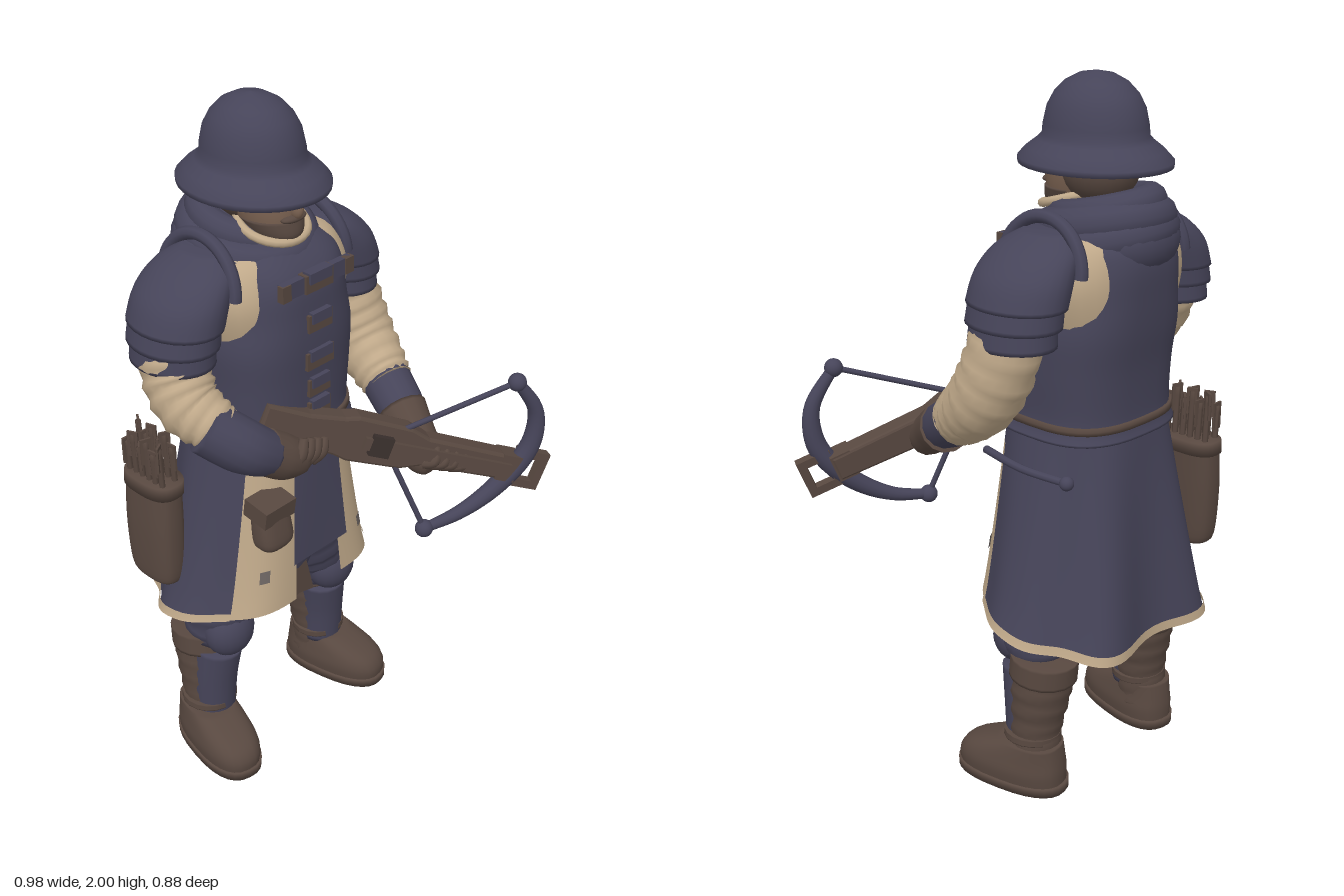
import * as THREE from 'three';

const paint = (name, color, side = THREE.FrontSide) => {
  const m = new THREE.MeshStandardMaterial({ color, side });
  m.name = name;
  return m;
};

// Catmull-Rom smoothing of rows holding any count of numbers
function smooth(rows, k = 5) {
  const out = [], at = i => rows[Math.max(0, Math.min(rows.length - 1, i))];
  for (let i = 0; i < rows.length - 1; i++) for (let j = 0; j < k; j++) {
    const t = j / k, [a, b, c, d] = [at(i - 1), at(i), at(i + 1), at(i + 2)];
    out.push(b.map((_, n) => 0.5 * (2 * b[n] + (c[n] - a[n]) * t + (2 * a[n] - 5 * b[n] + 4 * c[n] - d[n]) * t * t
      + (3 * b[n] - a[n] - 3 * c[n] + d[n]) * t * t * t)));
  }
  out.push(rows[rows.length - 1]);
  return out;
}

// Surface through rings of points; closed rings are capped at both ends
function skin(rings, closed = true) {
  const n = rings[0].length, pos = rings.flat(2), idx = [];
  for (let i = 0; i < rings.length - 1; i++) for (let j = 0; j < (closed ? n : n - 1); j++) {
    const a = i * n + j, b = i * n + (j + 1) % n, c = a + n, d = b + n;
    idx.push(a, b, d, a, d, c);
  }
  if (closed) [0, rings.length - 1].forEach((r, end) => {
    const mid = [0, 1, 2].map(c => rings[r].reduce((s, p) => s + p[c], 0) / n), m = pos.length / 3;
    pos.push(...mid);
    for (let j = 0; j < n; j++) {
      const a = r * n + j, b = r * n + (j + 1) % n;
      idx.push(m, ...(end ? [a, b] : [b, a]));
    }
  });
  const g = new THREE.BufferGeometry();
  g.setAttribute('position', new THREE.Float32BufferAttribute(pos, 3));
  g.setIndex(idx);
  g.computeVertexNormals();
  return g;
}

const pow = (v, e) => Math.sign(v) * Math.abs(v) ** e;

// Stacked ellipses, listed upward as [y, cx, cz, rx, rz]
const loft = (rows, e = 1, n = 28, k = 5) => skin(smooth(rows, k).map(([y, cx, cz, rx, rz]) =>
  Array.from({ length: n }, (_, j) => {
    const a = j / n * Math.PI * 2;
    return [cx + rx * pow(Math.sin(a), e), y, cz + rz * pow(Math.cos(a), e)];
  })));

// Round limb along [x, y, z, radius] points, with optional cloth folds
function limb(rows, fold = 0, n = 14) {
  const pts = smooth(rows, 6), v = p => new THREE.Vector3(p[0], p[1], p[2]);
  const span = v(rows[rows.length - 1]).sub(v(rows[0])).normalize();
  const ref = Math.abs(span.z) < 0.75 ? new THREE.Vector3(0, 0, 1) : new THREE.Vector3(1, 0, 0);
  return skin(pts.map((p, i) => {
    const t = v(pts[Math.min(i + 1, pts.length - 1)]).sub(v(pts[Math.max(i - 1, 0)])).normalize();
    const u = ref.clone().cross(t).normalize(), w = t.clone().cross(u);
    return Array.from({ length: n }, (_, j) => {
      const a = j / n * Math.PI * 2, r = p[3] + fold * Math.sin(i * 2.1 + Math.sin(a) * 1.5);
      return v(p).addScaledVector(u, r * Math.cos(a)).addScaledVector(w, r * Math.sin(a)).toArray();
    });
  }));
}

// Patch of the flared coat skirt: angles a0..a1 from the front, s 0 (hem) .. 1 (waist)
function skirt(a0, a1, s0, s1, off = 0) {
  const rings = [], mix = THREE.MathUtils.lerp, n = Math.ceil((a1 - a0) * 14) + 2;
  for (let i = 0; i <= 12; i++) {
    const s = mix(s0, s1, i / 12), f = 1 - s;
    rings.push(Array.from({ length: n }, (_, j) => {
      const a = mix(a0, a1, j / (n - 1)), back = Math.max(0, -Math.cos(a));
      const r = off - f * (0.01 + 0.018 * back) * Math.cos(6 * a);
      const z = mix(-0.175, -0.145, s) + (mix(0.25, 0.19, s) + r) * pow(Math.cos(a), 0.85);
      const x = -0.08 + (mix(0.345, 0.215, s ** 0.85) + r) * pow(Math.sin(a), 0.85);
      return [x, mix(0.52, 1.12, s) + (z + 0.17) * 0.19 * f, z];
    }));
  }
  return skin(rings, false);
}

export function createModel() {
  const model = new THREE.Group();
  const navy = paint('navy cloth', 0x464459, THREE.DoubleSide), cream = paint('cream linen', 0xc0a98a, THREE.DoubleSide);
  const brown = paint('brown leather', 0x584840), dark = paint('dark leather', 0x3a302d), face = paint('skin', 0x7d6453);
  const grey = paint('worn grey', 0x6e6663, THREE.DoubleSide);
  const add = (name, geo, mat, x = 0, y = 0, z = 0) => {
    const m = new THREE.Mesh(geo, mat);
    m.name = name;
    m.position.set(x, y, z);
    model.add(m);
    return m;
  };
  const box = (w, h, d) => new THREE.BoxGeometry(w, h, d);
  const ball = (x, y, z) => new THREE.SphereGeometry(1, 20, 14).scale(x, y, z);
  const flat = pts => pts.map(([x, y]) => new THREE.Vector2(x, y));

  // Kettle helmet
  const helmet = flat([[0.105, 1.79], [0.176, 1.763], [0.186, 1.765], [0.187, 1.78], [0.165, 1.805], [0.14, 1.826], [0.128, 1.84],
    [0.126, 1.865], [0.117, 1.91], [0.1, 1.945], [0.075, 1.973], [0.042, 1.992], [0, 2]]);
  add('helmet', new THREE.LatheGeometry(helmet, 36).scale(1, 1, 1.15), navy, -0.09, 0, -0.15);

  // Head
  add('head', loft([[1.63, -0.09, -0.1, 0.05, 0.06], [1.67, -0.09, -0.095, 0.07, 0.085], [1.74, -0.09, -0.11, 0.088, 0.11],
    [1.84, -0.09, -0.13, 0.09, 0.12]]), face);
  add('hair', ball(0.102, 0.1, 0.11), brown, -0.09, 1.76, -0.165);
  add('beard', loft([[1.635, -0.09, -0.07, 0.035, 0.055], [1.66, -0.09, -0.075, 0.065, 0.08], [1.7, -0.09, -0.09, 0.084, 0.088]]), brown);
  add('nose', ball(0.015, 0.028, 0.022), face, -0.09, 1.735, 0.002);
  add('moustache', ball(0.042, 0.012, 0.02), brown, -0.09, 1.708, -0.008);
  for (const s of [-1, 1]) {
    add('eye', ball(0.014, 0.007, 0.006), dark, -0.09 + s * 0.037, 1.752, -0.014);
    add('eyebrow', box(0.04, 0.01, 0.02), brown, -0.09 + s * 0.037, 1.77, -0.016);
  }

  // Hood gathered round the neck, over a pale collar
  [[1.58, 0.15, 0.052, 1.08], [1.62, 0.135, 0.05, 1.08], [1.66, 0.11, 0.04, 1.1]].forEach(([y, r, t, k], i) => {
    const fold = add('hoodFold', new THREE.TorusGeometry(r, t, 12, 36).rotateX(Math.PI / 2).scale(1, 1.05, k), navy, -0.085, y, -0.175 - i * 0.01);
    fold.rotation.set(0.22, 0, i % 2 ? 0.05 : -0.04);
  });
  add('hoodBag', ball(0.14, 0.09, 0.09), navy, -0.085, 1.585, -0.3);
  add('collar', new THREE.TorusGeometry(0.092, 0.012, 8, 28).rotateX(Math.PI / 2), cream, -0.085, 1.672, -0.09).rotation.x = 0.3;

  // Torso: linen shirt under a quilted vest
  add('shirt', loft([[1.28, -0.07, -0.16, 0.17, 0.13], [1.37, -0.07, -0.165, 0.21, 0.175], [1.5, -0.07, -0.165, 0.24, 0.192],
    [1.6, -0.07, -0.17, 0.2, 0.165], [1.64, -0.07, -0.17, 0.12, 0.1]], 0.7), cream);
  add('vest', loft([[1.07, -0.075, -0.145, 0.228, 0.212], [1.12, -0.075, -0.145, 0.214, 0.2], [1.25, -0.07, -0.147, 0.217, 0.204],
    [1.36, -0.07, -0.152, 0.22, 0.214], [1.45, -0.07, -0.157, 0.203, 0.216], [1.54, -0.07, -0.162, 0.19, 0.213], [1.6, -0.07, -0.17, 0.17, 0.185],
    [1.66, -0.08, -0.18, 0.1, 0.12]], 0.72, 40), navy);
  add('belt', loft([[1.1, -0.075, -0.145, 0.222, 0.208], [1.12, -0.075, -0.145, 0.22, 0.206]], 0.72, 40, 2), brown);
  add('chestStrap', box(0.25, 0.045, 0.02), navy, -0.07, 1.55, 0.048);
  for (const s of [-1, 1]) add('strapEnd', box(0.03, 0.045, 0.02), brown, -0.07 + s * 0.115, 1.55, 0.052);
  [[1.55, 0.1, 0.05], [1.435, 0.085, 0.053], [1.325, 0.1, 0.053], [1.24, 0.08, 0.05], [1.17, 0.08, 0.05]].forEach(([y, w, z]) => {
    add('buckle', box(w, 0.05, 0.03), brown, -0.07, y, z);
    add('buckleFlap', box(w * 0.8, 0.03, 0.03), navy, -0.07, y + 0.016, z + 0.006);
  });

  // Coat skirt, open in front with pale worn facings and hem
  const tau = Math.PI * 2;
  add('coatSkirt', skirt(0.92, tau - 0.92, 0, 1), navy);
  add('hemTrim', skirt(0.92, tau - 0.92, 0, 0.04, 0.006), cream);
  for (const s of [-1, 1]) {
    const strip = (name, mat, a, b, ...rest) => add(name, skirt(Math.min(s * a, s * b), Math.max(s * a, s * b), ...rest), mat);
    strip('coatFacing', cream, 0.22, 0.92, 0, 0.8);
    strip('coatFront', navy, 0.22, 0.92, 0.8, 1);
    strip('wornPatch', grey, 0.53, 0.64, 0.19, 0.26, 0.004);
  }
  add('frontPanel', skirt(-0.28, 0.28, 0.24, 1, 0.015), navy);

  // Breeches
  add('breechesSeat', loft([[0.46, -0.0875, -0.15, 0.06, 0.07], [0.55, -0.0875, -0.15, 0.13, 0.13], [0.72, -0.08, -0.15, 0.21, 0.16],
    [0.9, -0.08, -0.15, 0.2, 0.15]]), navy);
  const flap = new THREE.Shape(flat([[-0.02, 0.08], [0.02, 0.08], [0.06, -0.085], [0, -0.07], [-0.06, -0.085]]));
  add('codFlap', new THREE.ExtrudeGeometry(flap, { depth: 0.02, bevelEnabled: false }), brown, -0.0825, 0.56, -0.03);

  // Legs and boots
  for (const s of [-1, 1]) {
    const X = d => -0.0875 + s * d;
    add('breechesLeg', limb([[X(0.12), 0.78, -0.15, 0.13], [X(0.16), 0.62, -0.14, 0.135], [X(0.2), 0.5, -0.14, 0.108], [X(0.215), 0.4, -0.15, 0.08]], 0.005, 18), navy);
    add('kneeCap', ball(0.08, 0.088, 0.07), navy, X(0.215), 0.45, -0.085);
    add('bootShaft', limb([[X(0.24), 0.07, -0.175, 0.075], [X(0.235), 0.18, -0.17, 0.074], [X(0.228), 0.3, -0.18, 0.086], [X(0.22), 0.4, -0.19, 0.092]], 0.003, 18), brown);
    add('bootCuff', limb([[X(0.222), 0.355, -0.185, 0.098], [X(0.22), 0.42, -0.19, 0.098]], 0, 18), brown);
    add('greave', limb([[X(0.235), 0.13, -0.145, 0.066], [X(0.232), 0.25, -0.14, 0.07], [X(0.222), 0.37, -0.13, 0.076]], 0, 18), navy);
    add('ankleStrap', limb([[X(0.238), 0.155, -0.16, 0.083], [X(0.237), 0.175, -0.16, 0.083]], 0, 18), brown);
    add('foot', loft([[0.015, 0, 0.07, 0.083, 0.168], [0.06, 0, 0.07, 0.088, 0.168], [0.1, 0, 0.055, 0.082, 0.148],
      [0.145, 0, 0.005, 0.072, 0.09]], 0.8), brown, X(0.245), 0, -0.17).rotation.y = s * 0.2;
    add('sole', loft([[0, 0, 0.07, 0.088, 0.175], [0.028, 0, 0.07, 0.09, 0.175]], 0.8, 28, 1), brown, X(0.245), 0, -0.17).rotation.y = s * 0.2;
  }

  // Layered shoulder guards
  for (const s of [-1, 1]) {
    const lames = [[[1.46, 0.292, 0.112, 0.145], [1.53, 0.265, 0.108, 0.142], [1.59, 0.22, 0.09, 0.12], [1.63, 0.18, 0.05, 0.07]],
      [[1.41, 0.303, 0.109, 0.138], [1.48, 0.29, 0.106, 0.135]], [[1.36, 0.308, 0.103, 0.126], [1.43, 0.303, 0.1, 0.12]]];
    lames.forEach(l => add('shoulderLame', loft(l.map(([y, d, rx, rz]) => [y, -0.07 + s * d, -0.168, rx, rz])), navy));
    const rim = add('shoulderRim', new THREE.TorusGeometry(0.135, 0.018, 8, 24, Math.PI).rotateY(Math.PI / 2), navy, -0.07 + s * 0.205, 1.53, -0.17);
    rim.rotation.z = s * 0.12;
  }

  // Left arm
  add('leftSleeve', limb([[0.24, 1.42, -0.165, 0.092], [0.255, 1.3, -0.14, 0.098], [0.262, 1.2, -0.09, 0.095], [0.25, 1.13, -0.01, 0.082], [0.24, 1.1, 0.035, 0.07]], 0.005, 18), cream);
  add('leftBracer', limb([[0.25, 1.12, 0.0, 0.072], [0.22, 1.06, 0.1, 0.068], [0.2, 1.03, 0.15, 0.056]]), navy);
  add('leftGlove', limb([[0.215, 1.05, 0.11, 0.074], [0.19, 1.01, 0.18, 0.062], [0.17, 0.97, 0.24, 0.055], [0.17, 0.96, 0.27, 0.03]]), brown);
  // Right arm
  add('rightSleeve', limb([[-0.38, 1.42, -0.165, 0.092], [-0.392, 1.33, -0.14, 0.092], [-0.4, 1.26, -0.09, 0.086], [-0.38, 1.22, -0.03, 0.074], [-0.365, 1.2, -0.01, 0.065]], 0.005, 18), cream);
  add('rightBracer', limb([[-0.4, 1.22, -0.03, 0.075], [-0.33, 1.155, 0.04, 0.074], [-0.26, 1.11, 0.065, 0.06]]), navy);
  add('rightGlove', limb([[-0.275, 1.12, 0.055, 0.066], [-0.22, 1.085, 0.07, 0.064], [-0.17, 1.065, 0.085, 0.048], [-0.15, 1.06, 0.09, 0.025]]), brown);
  for (let i = 0; i < 4; i++) {
    const f = i * 0.026;
    add('rightFinger', limb([[-0.22 + f, 1.065 - f * 0.2, 0.1, 0.018], [-0.2 + f, 1.1 - f * 0.3, 0.118, 0.018], [-0.18 + f, 1.14 - f * 0.4, 0.11, 0.013]], 0, 8), brown);
    add('leftFinger', limb([[0.14 + f, 0.97 - f * 0.4, 0.25 + f * 0.5, 0.017], [0.155 + f, 0.985 - f * 0.4, 0.285 + f * 0.5, 0.017], [0.175 + f, 1.02 - f * 0.4, 0.275 + f * 0.5, 0.013]], 0, 8), brown);
  }

  // Crossbow: local x runs along the stock, y along the bow, z out of the top
  const along = new THREE.Vector3(0.65, -0.29, 0.4).normalize(), up = new THREE.Vector3(-0.49, 0.06, 0.85);
  const across = up.cross(along).normalize();
  const bow = new THREE.Group();
  bow.name = 'crossbow';
  bow.quaternion.setFromRotationMatrix(new THREE.Matrix4().makeBasis(along, across, along.clone().cross(across)));
  bow.position.set(-0.23, 1.18, 0.005);
  model.add(bow);
  const outline = [[0, 0.045], [0.12, 0.04], [0.22, 0.05], [0.26, 0.06], [0.42, 0.055], [0.48, 0.036], [0.77, 0.03]];
  const stock = new THREE.Shape(flat([...outline, ...outline.map(([x, y]) => [x, -y]).reverse()]));
  const bevel = { bevelThickness: 0.01, bevelSize: 0.008, bevelSegments: 2 };
  bow.add(add('stock', new THREE.ExtrudeGeometry(stock, { depth: 0.045, ...bevel }), brown, 0, 0, -0.025));
  bow.add(add('boltRail', box(0.46, 0.035, 0.016), brown, 0.52, 0, 0.036));
  bow.add(add('latch', box(0.06, 0.06, 0.025), dark, 0.34, 0, 0.036));
  bow.add(add('bowMount', box(0.06, 0.08, 0.065), brown, 0.75, 0, 0));
  const frame = new THREE.Shape(flat([[0, -0.058], [0.1, -0.058], [0.1, 0.058], [0, 0.058]]));
  frame.holes.push(new THREE.Path(flat([[0.022, -0.034], [0.022, 0.034], [0.076, 0.034], [0.076, -0.034]])));
  bow.add(add('stirrup', new THREE.ExtrudeGeometry(frame, { depth: 0.03, bevelEnabled: false }), brown, 0.772, 0, -0.015));
  const tips = [[0.37, 1.19, 0.39], [0.13, 0.765, 0.28]];
  add('bowLimbs', limb([[...tips[0], 0.015], [0.43, 1.09, 0.415, 0.022], [0.432, 0.99, 0.415, 0.028], [0.395, 0.91, 0.395, 0.03],
    [0.32, 0.835, 0.36, 0.026], [0.23, 0.785, 0.32, 0.02], [...tips[1], 0.014]]), navy);
  for (const t of tips) {
    add('bowTip', ball(0.026, 0.026, 0.026), navy, ...t);
    add('bowString', limb([[...t, 0.008], [0.04, 1.07, 0.19, 0.008]], 0, 8), navy);
  }

  // Quiver with bolts, belt pouch and dagger
  add('quiver', loft([[0.62, -0.405, -0.255, 0.035, 0.065], [0.65, -0.405, -0.26, 0.048, 0.088], [0.8, -0.4, -0.265, 0.054, 0.095],
    [0.95, -0.392, -0.268, 0.052, 0.09]], 0.75), brown);
  add('quiverRim', loft([[0.915, -0.393, -0.268, 0.058, 0.097], [0.955, -0.39, -0.268, 0.057, 0.096]], 0.75, 28, 1), brown);
  for (let i = 0; i < 12; i++) {
    const x = -0.415 + (i % 2) * 0.045, z = -0.335 + Math.floor(i / 2) * 0.027, top = 1.05 + (i * 3 % 4) * 0.014;
    add('bolt', limb([[x, 0.9, z, 0.009], [x - 0.008, top, z, 0.009]], 0, 6), brown);
    add('boltFletching', box(0.032, 0.08, 0.006), brown, x - 0.007, top - 0.03, z).rotation.y = i;
  }
  add('pouch', loft([[0.81, -0.255, 0.06, 0.045, 0.035], [0.84, -0.255, 0.062, 0.058, 0.042], [0.95, -0.255, 0.045, 0.052, 0.035]], 0.7), brown);
  add('pouchFlap', box(0.112, 0.055, 0.085), brown, -0.255, 0.93, 0.052).rotation.x = 0.15;
  add('daggerGrip', limb([[0.17, 1.0, 0.0, 0.011], [0.175, 0.985, -0.14, 0.011], [0.14, 0.97, -0.26, 0.011]], 0, 8), navy);
  add('daggerPommel', ball(0.02, 0.02, 0.02), navy, 0.14, 0.97, -0.27);
  return model;
}
